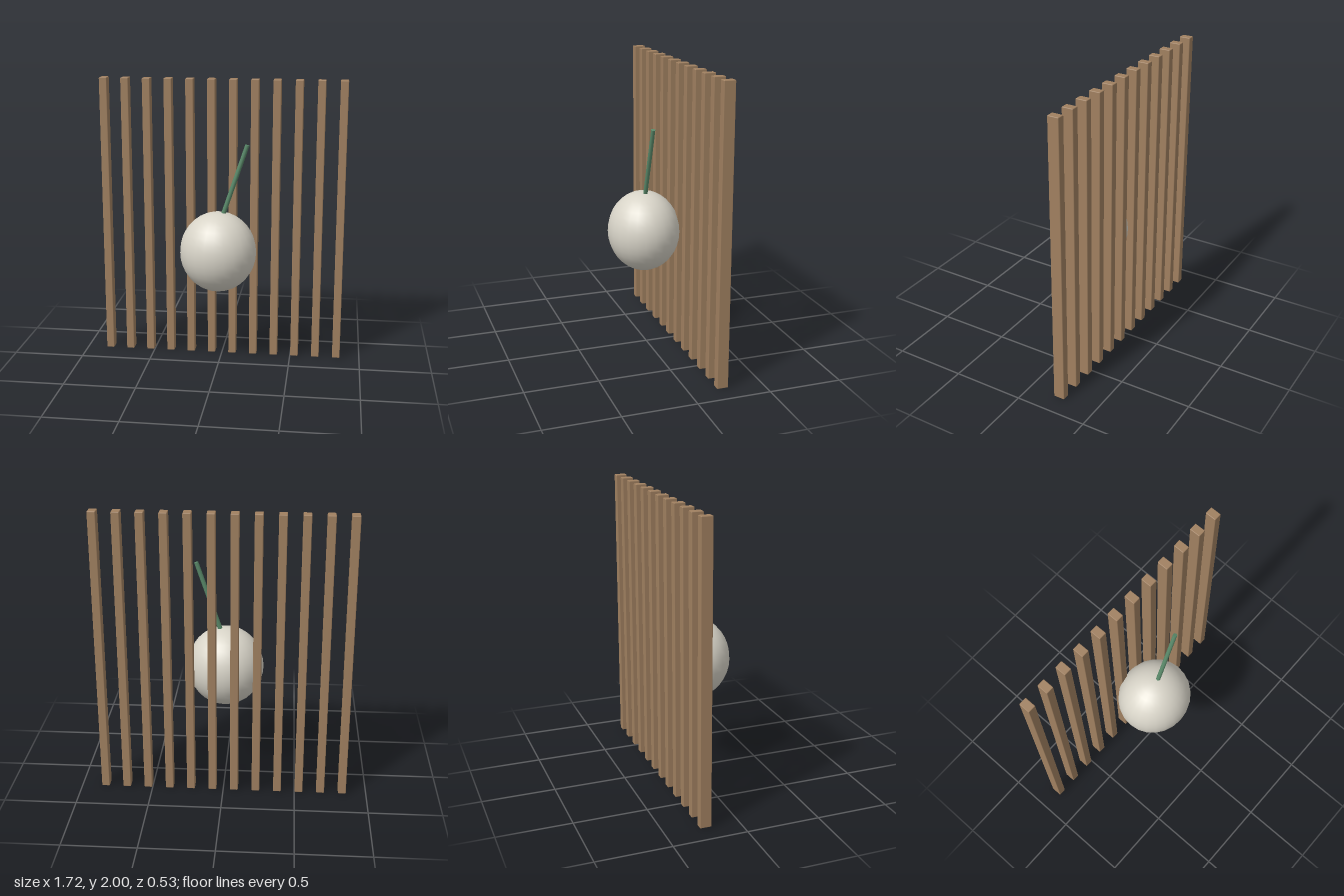
import * as THREE from 'three';
import { RoundedBoxGeometry } from 'three/addons/geometries/RoundedBoxGeometry.js';

const material = (name, color) => {
  const m = new THREE.MeshStandardMaterial({ color });
  m.name = name;
  return m;
};

export function createModel() {
  const group = new THREE.Group();
  const wood = material('wood', 0xa08060);
  const shell = material('warmGrey', 0xd8d4c8);
  const green = material('stemGreen', 0x5a8a6a);

  const add = (name, geometry, mat, parent = group) => {
    const mesh = new THREE.Mesh(geometry, mat);
    mesh.name = name;
    parent.add(mesh);
    return mesh;
  };

  // Row of upright slats with softened edges
  const screen = new THREE.Group();
  screen.name = 'slatScreen';
  group.add(screen);
  const count = 12, spacing = 0.1515;
  const slatGeometry = new RoundedBoxGeometry(0.055, 2, 0.078, 1, 0.005);
  for (let i = 0; i < count; i++) {
    const slat = add('slat', slatGeometry, wood, screen);
    slat.position.set((i - (count - 1) / 2) * spacing, 1, -0.228);
  }

  // Slightly tall, slightly flattened globe resting against the slats
  const globe = add('globe', new THREE.SphereGeometry(1, 24, 18), shell);
  globe.scale.set(0.264, 0.28, 0.248);
  globe.position.set(0, 0.837, 0.019);

  // Straight leaning stem, rooted in the top of the globe
  const from = new THREE.Vector3(0.031, 1.09, 0.019);
  const to = new THREE.Vector3(0.198, 1.585, 0.019);
  const axis = to.clone().sub(from);
  const stem = add('stem', new THREE.CylinderGeometry(0.015, 0.016, axis.length(), 8), green);
  stem.position.copy(from).add(to).multiplyScalar(0.5);
  stem.quaternion.setFromUnitVectors(new THREE.Vector3(0, 1, 0), axis.normalize());

  return group;
}
